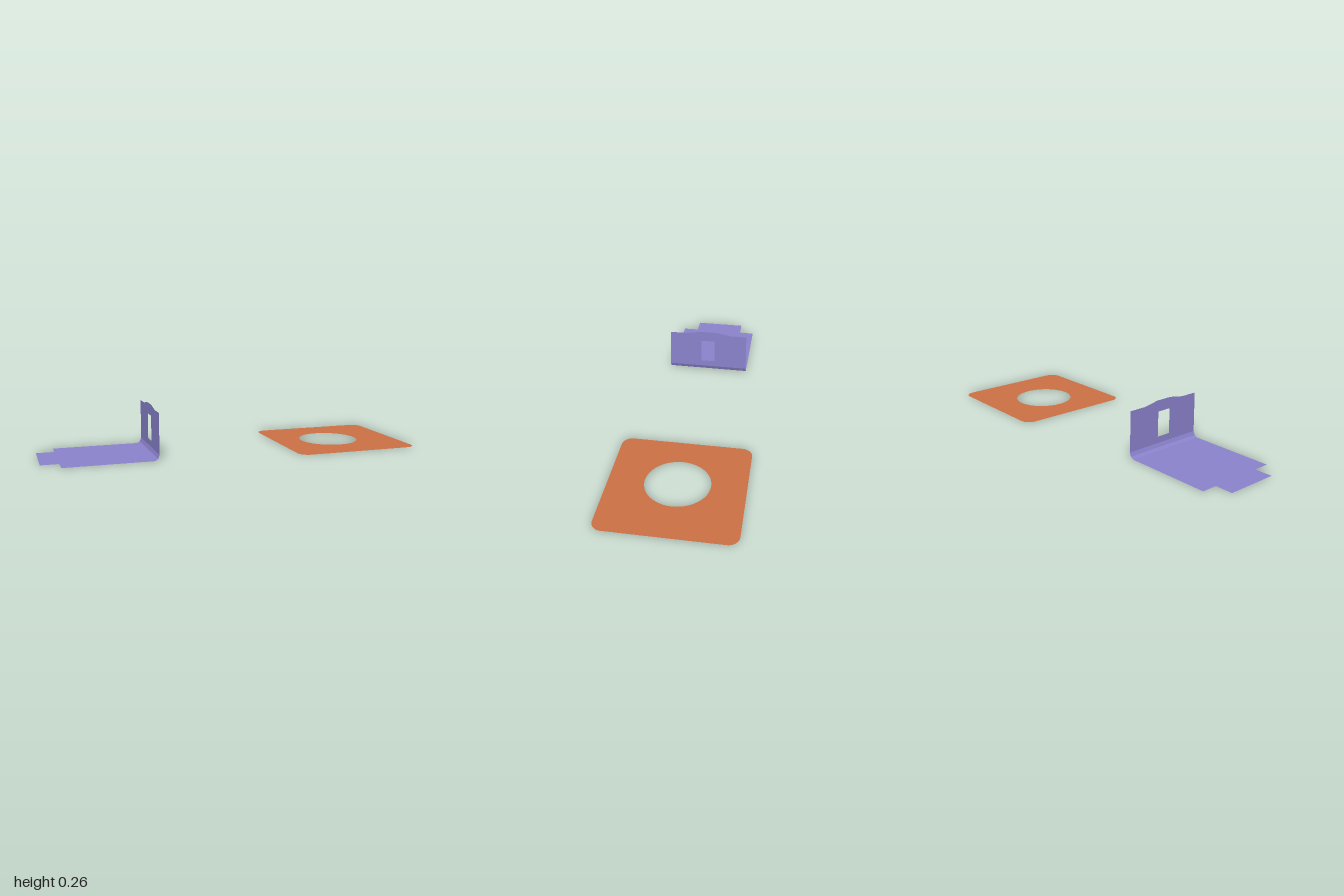
import * as THREE from 'three';

const sheet = (color) => new THREE.MeshStandardMaterial({ color, side: THREE.DoubleSide, flatShading: true });

function polygon(points) {
  return new THREE.Shape(points.map(([x, y]) => new THREE.Vector2(x, y)));
}

function part(name, geometry, material) {
  const mesh = new THREE.Mesh(geometry, material);
  mesh.name = name;
  return mesh;
}

export function createModel() {
  const model = new THREE.Group();
  const purple = sheet(0x8a82cc);
  const orange = sheet(0xcc7044);

  // Bent bracket: floor, folded edge and upright wall
  const bracket = new THREE.Group();
  bracket.name = 'bracket';
  const bend = [[-0.44, 0], [-0.425, 0.01], [-0.417, 0.03]]; // x, y of the fold

  // Floor with a narrower tab at its end, drawn in x and -z
  const floor = new THREE.ShapeGeometry(polygon([
    [-1, -0.135], [-0.905, -0.135], [-0.905, -0.222], [bend[0][0], -0.225],
    [bend[0][0], 0.229], [-0.905, 0.229], [-0.905, 0.145], [-1, 0.145],
  ]));
  floor.rotateX(-Math.PI / 2);
  bracket.add(part('bracketFloor', floor, purple));

  // Fold: a strip whose rows follow the bend profile
  const fold = new THREE.PlaneGeometry(1, 1, 1, bend.length - 1);
  const p = fold.attributes.position;
  for (let i = 0; i < p.count; i++) {
    const [x, y] = bend[Math.floor(i / 2)];
    p.setXYZ(i, x, y, i % 2 ? -0.229 : 0.225);
  }
  fold.computeVertexNormals();
  bracket.add(part('bracketFold', fold, purple));

  // Wall with a raised middle and a window, drawn in -z and y
  const wallShape = polygon([
    [-0.225, 0.03], [0.229, 0.03], [0.226, 0.245], [0.13, 0.245],
    [0.048, 0.26], [-0.043, 0.26], [-0.128, 0.245], [-0.222, 0.245],
  ]);
  wallShape.holes.push(polygon([[-0.04, 0.065], [-0.039, 0.2], [0.039, 0.2], [0.04, 0.065]]));
  const wall = new THREE.ShapeGeometry(wallShape);
  wall.rotateY(Math.PI / 2);
  wall.translate(bend[2][0], 0, 0);
  bracket.add(part('bracketWall', wall, purple));

  // Flat square plate with rounded corners and a round hole
  const [cx, hx, hz, r] = [0.657, 0.343, 0.341, 0.055];
  const plateShape = new THREE.Shape();
  [[1, 1], [-1, 1], [-1, -1], [1, -1]].forEach(([sx, sy], i) => {
    const start = i * Math.PI / 2;
    plateShape.absarc(cx + sx * (hx - r), sy * (hz - r), r, start, start + Math.PI / 2, false);
  });
  plateShape.closePath();
  const hole = new THREE.Path();
  hole.absarc(0.631, 0.002, 0.164, 0, Math.PI * 2, true);
  plateShape.holes.push(hole);
  const plate = new THREE.ShapeGeometry(plateShape, 24);
  plate.rotateX(-Math.PI / 2);

  model.add(bracket, part('plate', plate, orange));
  return model;
}
